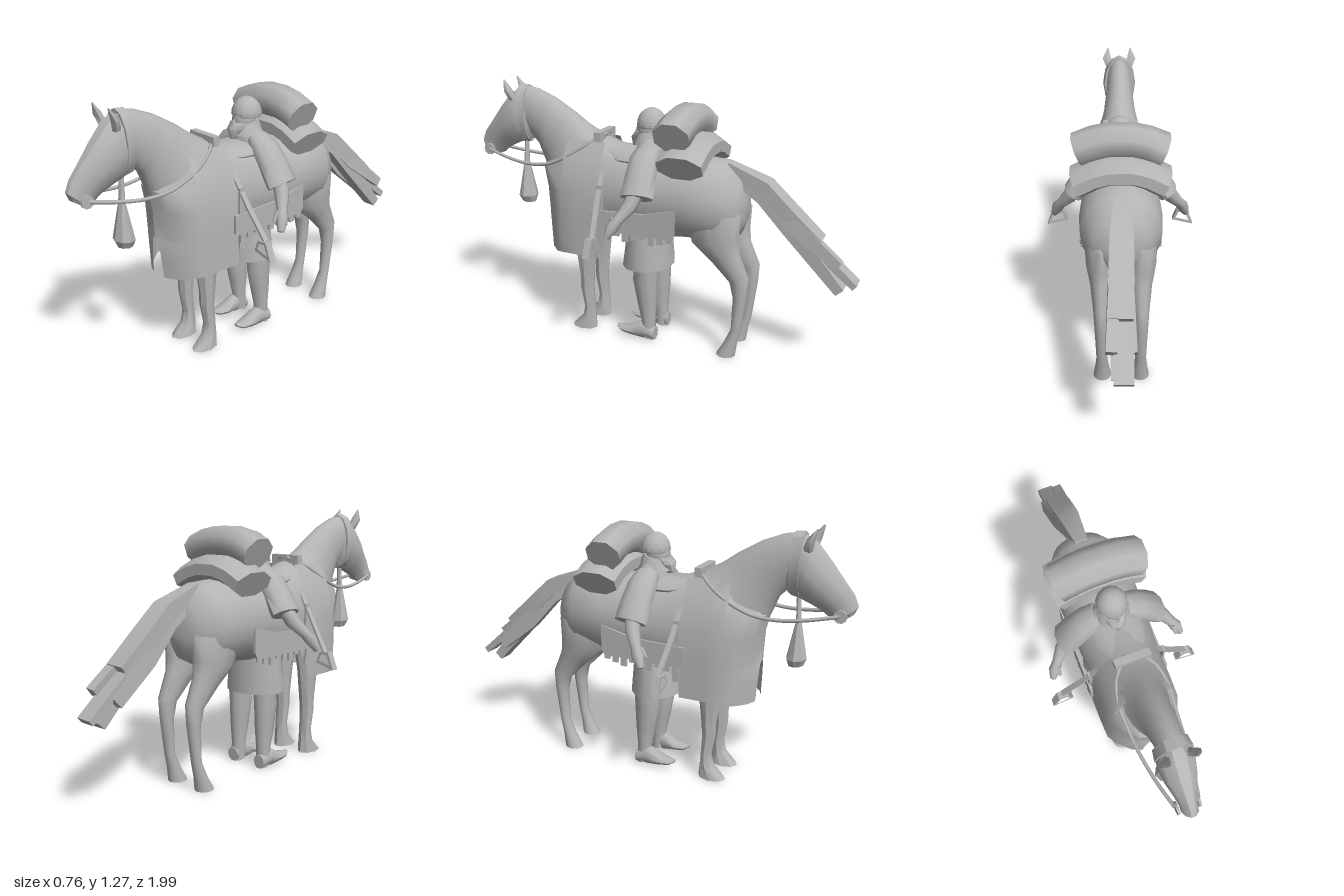
import * as THREE from 'three';
import { toCreasedNormals } from 'three/addons/utils/BufferGeometryUtils.js';

const grey = new THREE.MeshStandardMaterial({ color: 0xb4b4b4 });
grey.name = 'grey';
const greySheet = grey.clone(); // same colour, for open cloth
greySheet.side = THREE.DoubleSide;
const V = (x, y, z) => new THREE.Vector3(x, y, z);

// Closed skin over a list of equally sized rings, wound outward
function skin(rings, crease = 0.9) {
  const n = rings[0].length, pts = rings.flat(), idx = [];
  const last = (rings.length - 1) * n;
  for (let r = 0; r < rings.length - 1; r++) for (let i = 0; i < n; i++) {
    const a = r * n + i, b = r * n + (i + 1) % n;
    idx.push(a, b, b + n, a, b + n, a + n);
  }
  for (let i = 1; i < n - 1; i++) idx.push(0, i + 1, i, last, last + i, last + i + 1);
  let vol = 0;
  for (let i = 0; i < idx.length; i += 3)
    vol += pts[idx[i]].dot(V().crossVectors(pts[idx[i + 1]], pts[idx[i + 2]]));
  if (vol < 0) idx.reverse();
  const g = new THREE.BufferGeometry().setFromPoints(pts);
  g.setIndex(idx);
  return toCreasedNormals(g, crease);
}

// Sections as [z1, y1, z2, y2, halfWidth]: ellipses spanning two side-profile points
const loft = (sections, cx = 0, n = 16, crease) => skin(sections.map(([az, ay, bz, by, w]) =>
  Array.from({ length: n }, (_, i) => {
    const t = i / n * Math.PI * 2, s = Math.sin(t) / 2;
    return V(cx + w * Math.cos(t), (ay + by) / 2 + s * (ay - by), (az + bz) / 2 + s * (az - bz));
  })), crease);

// Tapered limb along [x, y, z, radiusA, radiusB]
function limb(path, n = 10, crease) {
  const p = path.map(([x, y, z]) => V(x, y, z));
  return skin(path.map(([, , , ra, rb = ra], k) => {
    const d = p[Math.min(k + 1, p.length - 1)].clone().sub(p[Math.max(k - 1, 0)]).normalize();
    const u = V().crossVectors(d, V(0, 0, 1)).normalize(), v = V().crossVectors(d, u);
    return Array.from({ length: n }, (_, i) => {
      const t = (i + 0.5) / n * Math.PI * 2;
      return p[k].clone().addScaledVector(u, ra * Math.cos(t)).addScaledVector(v, rb * Math.sin(t));
    });
  }), crease);
}

const strap = (pts, r) => new THREE.TubeGeometry(
  new THREE.CatmullRomCurve3(pts.map(p => V(...p))), 20, r, 6);
const box = (w, h, d, x, y, z) => new THREE.BoxGeometry(w, h, d).translate(x, y, z);
const outline = pts => new THREE.Shape(pts.map(p => new THREE.Vector2(...p)));

export function createModel() {
  const model = new THREE.Group();
  const add = (name, geo, mat = grey) => {
    const m = new THREE.Mesh(geo, mat);
    m.name = name;
    model.add(m);
  };
  const both = (name, geo, mat) => {
    add(name + 'Left', geo, mat);
    const g = geo.index ? geo.toNonIndexed() : geo.clone();
    g.scale(-1, 1, 1);
    const idx = [];
    for (let i = 0; i < g.attributes.position.count; i += 3) idx.push(i, i + 2, i + 1);
    g.setIndex(idx);
    add(name + 'Right', g, mat);
  };

  // Horse
  add('horseBodyAndNeck', loft([
    [-0.46, 0.79, -0.46, 0.67, 0.05], [-0.44, 0.88, -0.43, 0.6, 0.13],
    [-0.36, 0.955, -0.33, 0.55, 0.185], [-0.2, 0.965, -0.18, 0.56, 0.195],
    [0, 0.965, 0, 0.54, 0.185], [0.2, 0.99, 0.25, 0.52, 0.168],
    [0.31, 1.03, 0.48, 0.56, 0.15], [0.38, 1.07, 0.575, 0.72, 0.108],
    [0.45, 1.12, 0.61, 0.84, 0.085], [0.56, 1.185, 0.65, 0.94, 0.072],
    [0.66, 1.225, 0.7, 0.99, 0.066], [0.72, 1.235, 0.75, 1.02, 0.06]], 0, 20, 1.2));
  add('horseHead', loft([
    [0.68, 1.23, 0.67, 1.0, 0.05], [0.74, 1.235, 0.69, 0.96, 0.076],
    [0.8, 1.2, 0.75, 0.94, 0.085], [0.87, 1.12, 0.8, 0.92, 0.074],
    [0.93, 1.045, 0.85, 0.895, 0.053], [0.98, 0.985, 0.88, 0.87, 0.04],
    [1.0, 0.935, 0.91, 0.86, 0.038], [0.985, 0.9, 0.93, 0.865, 0.028]], 0, 10, 0.6));
  both('ear', limb([[0.05, 1.17, 0.775, 0.02, 0.022], [0.067, 1.215, 0.79, 0.026, 0.018],
    [0.06, 1.265, 0.815, 0.003]], 6));
  both('frontLeg', loft([
    [0.46, 0.62, 0.26, 0.62, 0.055], [0.42, 0.45, 0.3, 0.45, 0.047], [0.395, 0.29, 0.32, 0.29, 0.04],
    [0.395, 0.23, 0.325, 0.23, 0.038], [0.375, 0.12, 0.32, 0.12, 0.034],
    [0.39, 0.06, 0.315, 0.065, 0.037], [0.45, 0, 0.31, 0, 0.047]], 0.083, 8, 0.7));
  both('hindLeg', loft([
    [-0.2, 0.8, -0.4, 0.82, 0.05], [-0.18, 0.7, -0.455, 0.72, 0.075],
    [-0.215, 0.57, -0.45, 0.61, 0.07], [-0.32, 0.48, -0.455, 0.54, 0.05],
    [-0.41, 0.39, -0.505, 0.42, 0.036], [-0.43, 0.31, -0.5, 0.33, 0.032],
    [-0.425, 0.14, -0.475, 0.14, 0.026],
    [-0.39, 0.06, -0.46, 0.075, 0.034], [-0.355, 0, -0.45, 0, 0.044]], 0.092, 12));

  // Tail: overlapping flat strands
  [[0, 0.005, -0.81, 0.62, 0.055, 0.026], [0.02, 0.045, -0.91, 0.53, 0.026, 0.026],
    [-0.01, -0.005, -0.985, 0.43, 0.045, 0.017], [0.015, 0.01, -0.92, 0.4, 0.04, 0.026],
    [-0.025, -0.045, -0.86, 0.49, 0.02, 0.03]].forEach(([x, xe, ze, ye, w, t], i) => {
    const drop = 0.012 * i;
    add('tailStrand' + i, limb([[x * 0.5, 0.935 - drop, -0.36, w * 0.8, t],
      [x, 0.85 - drop, -0.54, w * 1.3, t * 2], [(x + xe) / 2, 0.72 - drop * 1.5, -0.68, w * 1.4, t * 2],
      [xe, ye, ze, w * 1.3, t * 1.3]], 4, 0.5));
  });

  // Chest cloth, split at the front below the chest: rows of [y, halfWidth, frontZ, gap]
  const rows = [[0.425, 0.182, 0.57, 0.04], [0.52, 0.181, 0.575, 0.033], [0.61, 0.178, 0.58, 0.02],
    [0.62, 0.178, 0.58, 0], [0.75, 0.174, 0.588, 0], [0.85, 0.155, 0.612, 0],
    [0.93, 0.125, 0.54, 0], [1.0, 0.085, 0.48, 0]];
  const pos = [], idx = [], cols = 6;
  rows.forEach(([y, w, zf, gap], r) => {
    [[w, 0.24], [w, 0.36], [w * 0.98, 0.45], [w * 0.8, zf - 0.075], [w * 0.5, zf - 0.022], [gap, zf]]
      .forEach(([x, z], c) => {
        pos.push(x, y + (r === 0 && c < 3 ? 0.012 : 0), z);
        if (r && c) {
          const b = r * cols + c, a = b - cols;
          idx.push(a - 1, b, a, a - 1, b - 1, b);
        }
      });
  });
  const cloth = new THREE.BufferGeometry();
  cloth.setAttribute('position', new THREE.Float32BufferAttribute(pos, 3));
  cloth.setIndex(idx);
  both('chestCloth', toCreasedNormals(cloth, 0.9), greySheet);

  // Bridle, reins and hanging tassel
  add('bridleBand', loft([[0.75, 1.243, 0.745, 0.94, 0.088], [0.705, 1.24, 0.7, 0.95, 0.08]], 0, 12, 0.6));
  both('bitRing', new THREE.CylinderGeometry(0.03, 0.03, 0.012, 10).rotateZ(Math.PI / 2)
    .translate(0.05, 0.895, 0.935));
  both('rein', strap([[0.055, 0.895, 0.93], [0.085, 0.87, 0.8], [0.105, 0.857, 0.67], [0.115, 0.87, 0.55],
    [0.118, 0.93, 0.42], [0.09, 0.99, 0.33], [0.02, 1.035, 0.26]], 0.009));
  add('tassel', loft([[0.745, 0.97, 0.725, 0.97, 0.01], [0.755, 0.83, 0.73, 0.83, 0.02],
    [0.76, 0.81, 0.725, 0.81, 0.024], [0.79, 0.66, 0.695, 0.655, 0.056],
    [0.775, 0.625, 0.705, 0.62, 0.035]], 0, 8, 0.4));

  // Saddle, fringed blanket and stirrups
  add('saddleSeat', loft([[0.26, 0.99, 0.26, 0.9, 0.08], [0.15, 0.98, 0.15, 0.88, 0.12],
    [-0.06, 0.975, -0.06, 0.88, 0.13]], 0, 12));
  add('pommel', box(0.17, 0.1, 0.035, 0, 0.995, 0.285));
  const edge = [[0.27, 0.69], [0.27, 0.6]];
  for (let i = 0; i < 9; i++) {
    const z = 0.24 - i * 0.045, y = 0.55 + (i % 3) * 0.012;
    edge.push([z, 0.59], [z, y], [z - 0.03, y], [z - 0.03, 0.59]);
  }
  edge.push([-0.165, 0.62], [-0.165, 0.74], [0.0, 0.7]);
  both('fringedBlanket', new THREE.ExtrudeGeometry(outline(edge), { depth: 0.012, bevelEnabled: false })
    .rotateY(-Math.PI / 2).translate(0.196, 0, 0));
  both('girthStrap', box(0.01, 0.3, 0.03, 0.185, 0.665, 0.225));
  both('stirrupStrap', limb([[0.14, 0.87, 0.23, 0.006, 0.018], [0.22, 0.74, 0.22, 0.008, 0.018],
    [0.32, 0.59, 0.2, 0.008, 0.018]], 4, 0.5));
  const frame = outline([[0.295, 0.59], [0.345, 0.595], [0.378, 0.51], [0.273, 0.535]]);
  frame.holes.push(new THREE.Path([[0.304, 0.578], [0.336, 0.582], [0.358, 0.53], [0.29, 0.547]]
    .map(p => new THREE.Vector2(...p))));
  both('stirrup', new THREE.ExtrudeGeometry(frame, { depth: 0.035, bevelEnabled: false })
    .translate(0, 0, 0.19));

  // Bed rolls behind the saddle
  const roll = (half, y, sag, z, ry, rz) => limb([-1, -0.6, -0.25, 0.25, 0.6, 1]
    .map(t => [t * half, y - sag * t * t, z, ry, rz]), 8);
  add('upperBedRoll', roll(0.197, 1.13, 0.05, -0.147, 0.08, 0.093));
  add('lowerBedRoll', roll(0.203, 1.01, 0.065, -0.19, 0.068, 0.12));

  // Standing man: robe, arms, legs and head
  add('skirt', loft([[0.175, 0.385, -0.08, 0.385, 0.16], [0.15, 0.56, -0.065, 0.56, 0.145],
    [0.12, 0.68, -0.06, 0.68, 0.13]], 0, 14));
  add('torso', loft([[0.12, 0.64, -0.06, 0.64, 0.13], [0.11, 0.88, -0.065, 0.88, 0.14],
    [0.1, 0.97, -0.05, 0.97, 0.12], [0.08, 1.02, -0.03, 1.02, 0.08], [0.07, 1.06, -0.01, 1.06, 0.045]], 0, 14));
  add('collar', loft([[0.12, 1.0, -0.05, 1.0, 0.085], [0.1, 1.05, -0.03, 1.07, 0.058]], 0, 10));
  both('sleeve', limb([[0.06, 0.985, 0.02, 0.04, 0.06], [0.12, 0.94, 0.02, 0.055, 0.075],
    [0.175, 0.87, 0.015, 0.056, 0.08], [0.228, 0.79, 0.01, 0.052, 0.083]], 10));
  both('forearm', limb([[0.2, 0.84, 0.01, 0.038], [0.25, 0.755, 0.035, 0.036], [0.295, 0.695, 0.075, 0.025],
    [0.315, 0.665, 0.095, 0.03], [0.335, 0.615, 0.118, 0.016]], 8));
  both('thumb', limb([[0.295, 0.7, 0.1, 0.012], [0.3, 0.655, 0.13, 0.008]], 6));
  both('boot', loft([[0.08, 0.46, -0.04, 0.46, 0.058], [0.095, 0.32, -0.035, 0.32, 0.052],
    [0.072, 0.2, -0.03, 0.2, 0.045], [0.05, 0.1, -0.022, 0.1, 0.036], [0.05, 0.02, -0.025, 0, 0.036]], 0.085, 10));
  both('foot', loft([[-0.025, 0.07, -0.025, 0, 0.034], [0.04, 0.1, 0.04, 0, 0.038],
    [0.11, 0.06, 0.11, 0.01, 0.04], [0.16, 0.05, 0.155, 0.018, 0.03],
    [0.185, 0.05, 0.182, 0.035, 0.012]], 0.09, 10));
  add('face', new THREE.SphereGeometry(0.06, 14, 10).scale(0.9, 1.15, 1).translate(0, 1.07, 0.045));
  add('cap', new THREE.SphereGeometry(0.073, 14, 6, 0, Math.PI * 2, 0, Math.PI / 2)
    .scale(1, 1.15, 1).translate(0, 1.09, 0.03), greySheet);
  add('capBrim', new THREE.CylinderGeometry(0.073, 0.068, 0.02, 14).translate(0, 1.09, 0.03));
  add('nose', new THREE.ConeGeometry(0.013, 0.035, 6).translate(0, 1.065, 0.108));
  add('beard', loft([[0.11, 1.06, 0.04, 1.06, 0.05], [0.135, 1.03, 0.06, 1.03, 0.045],
    [0.13, 0.985, 0.095, 0.985, 0.015]], 0, 8));
  return model;
}
